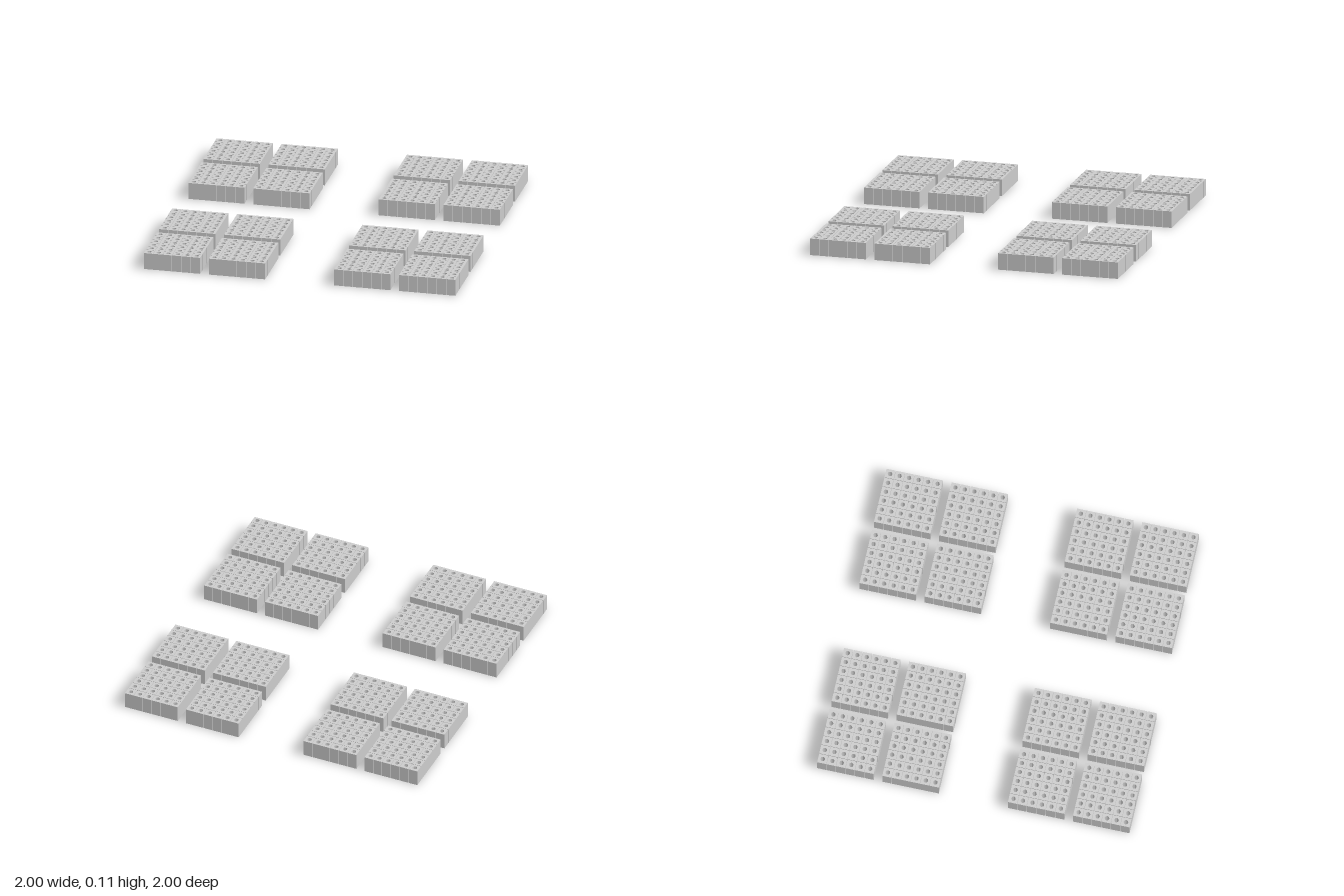
import * as THREE from 'three';

const TILE = 0.058, PITCH = 0.0607, HEIGHT = 0.107, HOLE = 0.015, PER_SIDE = 6;
const BLOCK_CENTRES = [-0.819, -0.402, 0.402, 0.819];

// Square prism with an eight-sided hole running through it, standing on y = 0
function makeTileGeometry() {
  const h = TILE / 2;
  const shape = new THREE.Shape([
    new THREE.Vector2(-h, -h), new THREE.Vector2(h, -h),
    new THREE.Vector2(h, h), new THREE.Vector2(-h, h),
  ]);
  const ring = [];
  for (let i = 0; i < 8; i++) {
    const a = -i * Math.PI / 4;
    ring.push(new THREE.Vector2(Math.cos(a) * HOLE, Math.sin(a) * HOLE));
  }
  shape.holes.push(new THREE.Path(ring));
  const geometry = new THREE.ExtrudeGeometry(shape, { depth: HEIGHT, bevelEnabled: false });
  return geometry.rotateX(-Math.PI / 2);
}

export function createModel() {
  const model = new THREE.Group();
  model.name = 'tubeBlockArray';
  const geometry = makeTileGeometry();
  const material = new THREE.MeshStandardMaterial({ color: 0xcccccc, flatShading: true });

  // Four clusters of four blocks, each block a 6 x 6 grid of tubes
  for (const x of BLOCK_CENTRES) {
    for (const z of BLOCK_CENTRES) {
      const block = new THREE.Group();
      block.name = 'block';
      block.position.set(x, 0, z);
      for (let i = 0; i < PER_SIDE; i++) {
        for (let j = 0; j < PER_SIDE; j++) {
          const tube = new THREE.Mesh(geometry, material);
          tube.name = 'squareTube';
          const mid = (PER_SIDE - 1) / 2;
          tube.position.set((i - mid) * PITCH, 0, (j - mid) * PITCH);
          block.add(tube);
        }
      }
      model.add(block);
    }
  }
  return model;
}
